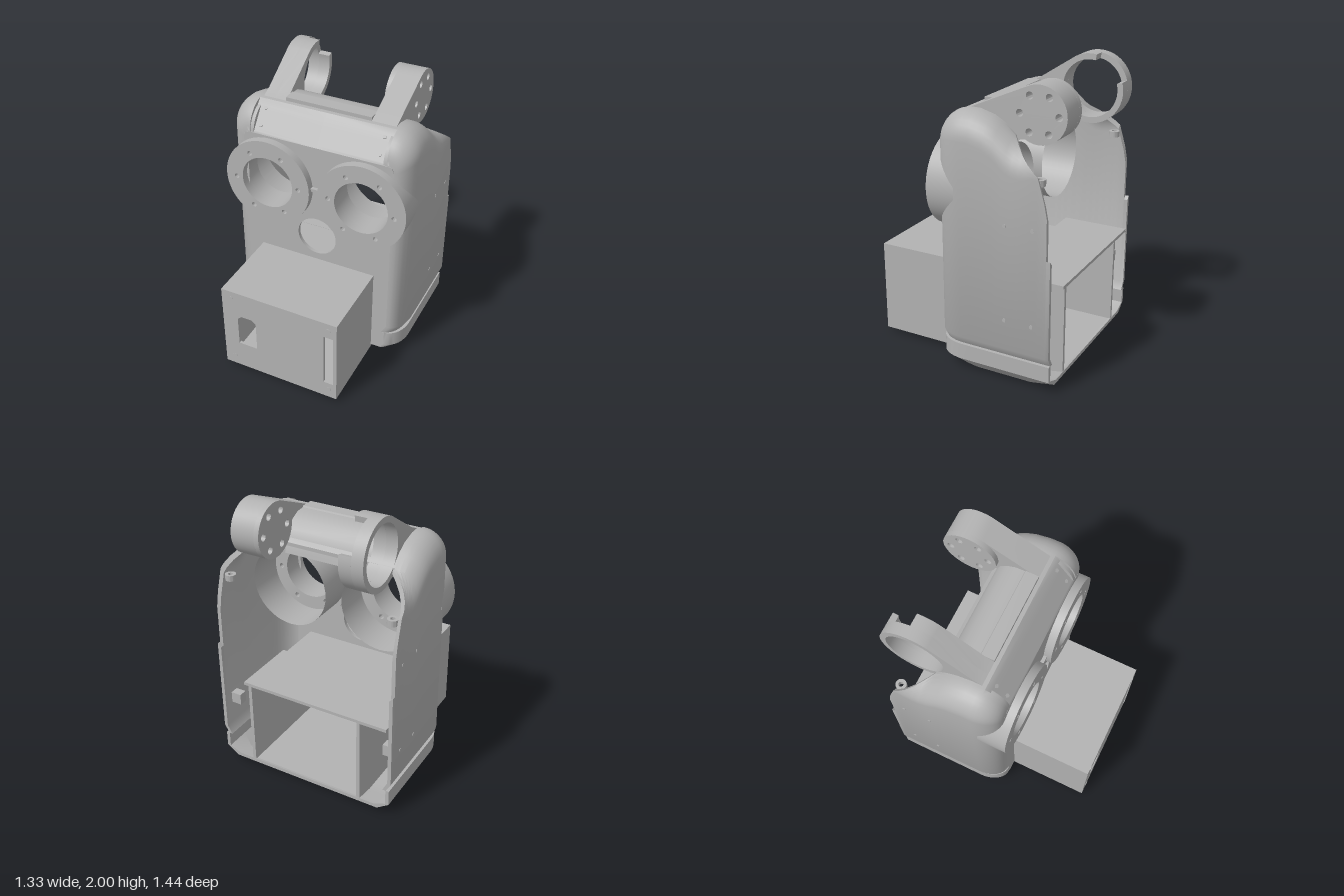
import * as THREE from 'three';
import { toCreasedNormals } from 'three/addons/utils/BufferGeometryUtils.js';

const grey = new THREE.MeshStandardMaterial({ color: 0xb2b2b2, side: THREE.DoubleSide });
grey.name = 'plain grey';
const { sin, cos, sqrt, PI } = Math;
const rad = THREE.MathUtils.degToRad;
const lerpTable = (table, z) => {
  for (let i = 1; i < table.length; i++) {
    const [z0, v0] = table[i - 1], [z1, v1] = table[i];
    if (z >= z1) return v0 + (v1 - v0) * (z - z0) / (z1 - z0);
  }
  return table[table.length - 1][1];
};
const poly = pts => new THREE.Shape(pts.map(p => new THREE.Vector2(...p)));
const circle = (x, y, r) => new THREE.Path().absarc(x, y, r, 0, 2 * PI, true);
const rect = (x0, y0, x1, y1) => [[x0, y0], [x1, y0], [x1, y1], [x0, y1]];
const arc = (cx, cy, r, from, to, n = 24) => Array.from({ length: n + 1 }, (_, i) => {
  const a = rad(from + (to - from) * i / n);
  return [cx + r * cos(a), cy + r * sin(a)];
});
const smooth = geo => toCreasedNormals(geo, 0.6);
const extrude = (shape, depth) => smooth(new THREE.ExtrudeGeometry(shape, { depth, bevelEnabled: false, curveSegments: 32 }));
// Extrudes a shape drawn in (z, y) between two x positions
const extrudeX = (shape, x0, x1) => extrude(shape, x1 - x0).rotateY(-PI / 2).translate(x1, 0, 0);

// Height of the shell's shoulders and its bottom along z
const CROWN = [[-0.035, 1.77], [-0.1, 1.768], [-0.2, 1.74], [-0.27, 1.7], [-0.35, 1.63], [-0.58, 1.45],
  [-0.625, 1.3], [-0.645, 1.2], [-0.646, 0.93], [-0.68, 0.93]];
const KEEL = [[0.145, 0.05], [-0.08, 0], [-0.5, 0], [-0.672, 0.03]];
const OPEN = [[-0.35, 90], [-0.45, 50], [-0.55, 12], [-0.6, 4], [-0.7, 3]];

// Half cross-section of the shell at z, inset by t, from top centre to bottom centre
function halfSection(z, t, open) {
  const k = z > -0.035 ? sqrt(Math.max(0, 1 - ((z + 0.035) / 0.18) ** 2)) : 1;
  const w = 0.54 + 0.12 * k - t, rx = 0.05 + 0.12 * k, ry = 0.05 + 0.13 * k;
  const top = (z > -0.035 ? 1.59 + 0.18 * k : lerpTable(CROWN, z)) - t;
  const a = open ? rad(lerpTable(OPEN, z)) : PI / 2;
  const corner = [];
  for (let i = 0; i <= 8; i++) {
    const q = a * (1 - i / 8);
    corner.push([w - rx + rx * cos(q), top - ry * sin(a) + ry * sin(q)]);
  }
  const mid = Math.min(top, 1.77 - t - Math.max(0, z) / 0.145 * 0.19);
  const bottom = lerpTable(KEEL, z) + t;
  const start = open ? [corner[0], corner[0]] : [[0, mid], [w - rx, mid]];
  return [...start, ...corner, [w, 0.26], [w - 0.035, 0.2], [w - 0.012, 0.2], [w - 0.012, 0.09],
    [0.56 - 0.06 * (1 - k) - t, bottom], [0, bottom]];
}

// Thick shell, open at the back
function shellGeometry() {
  const stations = [];
  for (let a = 90; a >= 0; a -= 10) stations.push([-0.035 + 0.18 * sin(rad(a)), false]);
  for (const z of [-0.1, -0.15, -0.2, -0.27, -0.35]) stations.push([z, false]);
  for (const z of [-0.35, -0.4, -0.45, -0.5, -0.55, -0.58, -0.625, -0.645, -0.646, -0.672]) stations.push([z, true]);
  const pos = [], index = [];
  let ring = 0;
  for (const [z, open] of stations) {
    const full = t => {
      const h = halfSection(z, t, open);
      return [...h, ...h.slice(0, -1).reverse().map(([x, y]) => [-x, y])];
    };
    const loop = [...full(0), ...full(0.025).reverse()];
    ring = loop.length;
    for (const [x, y] of loop) pos.push(x, y, z);
  }
  const quad = (a, b, c, d) => index.push(a, b, c, b, d, c);
  for (let i = 0; i < stations.length - 1; i++)
    for (let j = 0; j < ring; j++) {
      const n = (j + 1) % ring;
      quad(i * ring + j, i * ring + n, (i + 1) * ring + j, (i + 1) * ring + n);
    }
  const last = (stations.length - 1) * ring;
  for (let j = 0; j < ring / 2 - 1; j++) quad(last + j, last + j + 1, last + ring - 1 - j, last + ring - 2 - j);
  const geo = new THREE.BufferGeometry();
  geo.setAttribute('position', new THREE.Float32BufferAttribute(pos, 3));
  geo.setIndex(index);
  return smooth(geo);
}

export function createModel() {
  const model = new THREE.Group();
  const add = (name, geo, x = 0, y = 0, z = 0) => {
    const mesh = new THREE.Mesh(geo, grey);
    mesh.name = name;
    mesh.position.set(x, y, z);
    model.add(mesh);
    return mesh;
  };
  const box = (name, x0, x1, y0, y1, z0, z1) =>
    add(name, new THREE.BoxGeometry(x1 - x0, y1 - y0, z1 - z0), (x0 + x1) / 2, (y0 + y1) / 2, (z0 + z1) / 2);

  // Body shell and flat front wall
  add('bodyShell', shellGeometry());
  const edge = [[0.5, 0.05], [0.528, 0.09], [0.528, 0.2], [0.505, 0.2], [0.54, 0.26], [0.54, 1.54], [0.525, 1.575], [0.49, 1.58]];
  const wall = poly([...edge, ...edge.slice().reverse().map(([x, y]) => [-x, y])]);
  wall.holes.push(circle(0.345, 1.25, 0.19), circle(-0.345, 1.25, 0.19), circle(0, 0.88, 0.143),
    poly(rect(-0.42, 0.06, 0.42, 0.67)));
  add('frontWall', extrude(wall, 0.025), 0, 0, 0.12);

  // Eye rings with bolt holes and barrels behind them
  for (const s of [-1, 1]) {
    const face = new THREE.Shape().absarc(0, 0, 0.315, 0, 2 * PI, false);
    face.holes.push(circle(0, 0, 0.19));
    for (let i = 0; i < 6; i++) {
      const a = rad(2 + 60 * i), x = -s * 0.235 * cos(a), y = 0.235 * sin(a);
      face.holes.push(circle(x, y, 0.018));
      add('boltSeat', new THREE.RingGeometry(0.018, 0.03, 20), s * 0.345 + x, 1.25 + y, 0.203);
    }
    add('eyeRing', extrude(face, 0.2), s * 0.345, 1.25, 0);
    add('eyeBarrel', new THREE.CylinderGeometry(0.285, 0.285, 0.27, 48, 1, true).rotateX(PI / 2), s * 0.345, 1.25, -0.125);
  }
  box('eyeBridge', -0.04, 0.04, 1.255, 1.277, 0.13, 0.17);

  // Projecting box, open at the back, with two windows in its front
  const frame = poly(rect(-0.43, 0.03, 0.43, 0.685));
  frame.holes.push(poly(rect(-0.405, 0.052, 0.405, 0.663)));
  add('boxWalls', extrude(frame, 1.37), 0, 0, -0.67);
  const panel = poly(rect(-0.43, 0.03, 0.43, 0.685));
  panel.holes.push(poly([[-0.315, 0.24], [-0.175, 0.24], [-0.175, 0.46], [-0.205, 0.487], [-0.285, 0.487], [-0.315, 0.46]]),
    poly(rect(0.335, 0.155, 0.405, 0.565)));
  add('boxFront', extrude(panel, 0.02), 0, 0, 0.7);
  for (const x of [-0.36, 0.37]) for (const y of [0.1, 0.622])
    add('boxScrew', new THREE.CylinderGeometry(0.02, 0.02, 0.006, 20).rotateX(PI / 2), x, y, 0.72);
  box('innerShelf', -0.62, 0.46, 0.665, 0.687, -0.675, -0.2);

  // Left arm ending in a bolted drum
  const drumAt = [-0.495, 1.77];
  const boltHoles = shape => {
    for (let i = 0; i < 6; i++)
      shape.holes.push(circle(drumAt[0] + 0.13 * cos(i * PI / 3), drumAt[1] + 0.13 * sin(i * PI / 3), 0.024));
    return shape;
  };
  add('drumArm', extrudeX(boltHoles(poly([[-0.02, 1.7], [-0.02, 1.765], [-0.1, 1.8],
    ...arc(...drumAt, 0.185, 63, 300), [-0.25, 1.58]])), 0.305, 0.475));
  add('drum', extrudeX(boltHoles(poly(arc(...drumAt, 0.185, 0, 352, 44))), 0.27, 0.305));

  // Right arm ending in a clamp ring, its inner half split at the back
  const ringAt = [-0.485, 1.77];
  const foot = [[-0.25, 1.58], [-0.02, 1.7], [-0.02, 1.765], [-0.1, 1.8]];
  const outer = poly([...foot, ...arc(...ringAt, 0.235, 63, 300, 40)]);
  outer.holes.push(circle(...ringAt, 0.195));
  add('clampArmOuter', extrudeX(outer, -0.475, -0.395));
  add('clampArmInner', extrudeX(poly([...foot, ...arc(...ringAt, 0.235, 63, 100, 8),
    ...arc(...ringAt, 0.195, 100, -195, 48), ...arc(...ringAt, 0.235, 165, 300)]), -0.395, -0.31));

  // Curved hood between the arms
  add('hood', extrudeX(poly([[-0.03, 1.74], [-0.03, 1.795], [-0.12, 1.795], [-0.125, 1.785], [-0.19, 1.78],
    [-0.25, 1.75], [-0.3, 1.7], [-0.33, 1.64], [-0.35, 1.55], [-0.32, 1.55], [-0.29, 1.64], [-0.2, 1.72]]), -0.31, 0.305));

  // Lugs and small screws on both sides
  const lug = new THREE.Shape().absarc(0, 0, 0.036, 0, 2 * PI, false);
  lug.holes.push(circle(0, 0, 0.016));
  for (const s of [-1, 1]) {
    add('rearLug', extrude(lug, 0.04).rotateX(-PI / 2), s * 0.592, 1.38, -0.565);
    box('sideLug', s * 0.6 - 0.04, s * 0.6 + 0.04, 0.42, 0.5, -0.6, -0.54);
    for (const y of [0.463, 1.107]) for (const z of [-0.36, -0.55])
      add('sideScrew', new THREE.CylinderGeometry(0.013, 0.013, 0.006, 16).rotateZ(PI / 2), s * 0.66, y, z);
    for (const [y, z] of [[1.72, 0.038], [1.628, 0.108]])
      add('panelScrew', new THREE.CylinderGeometry(0.013, 0.013, 0.008, 16).rotateX(0.65), s * 0.425, y, z);
  }
  return model;
}
